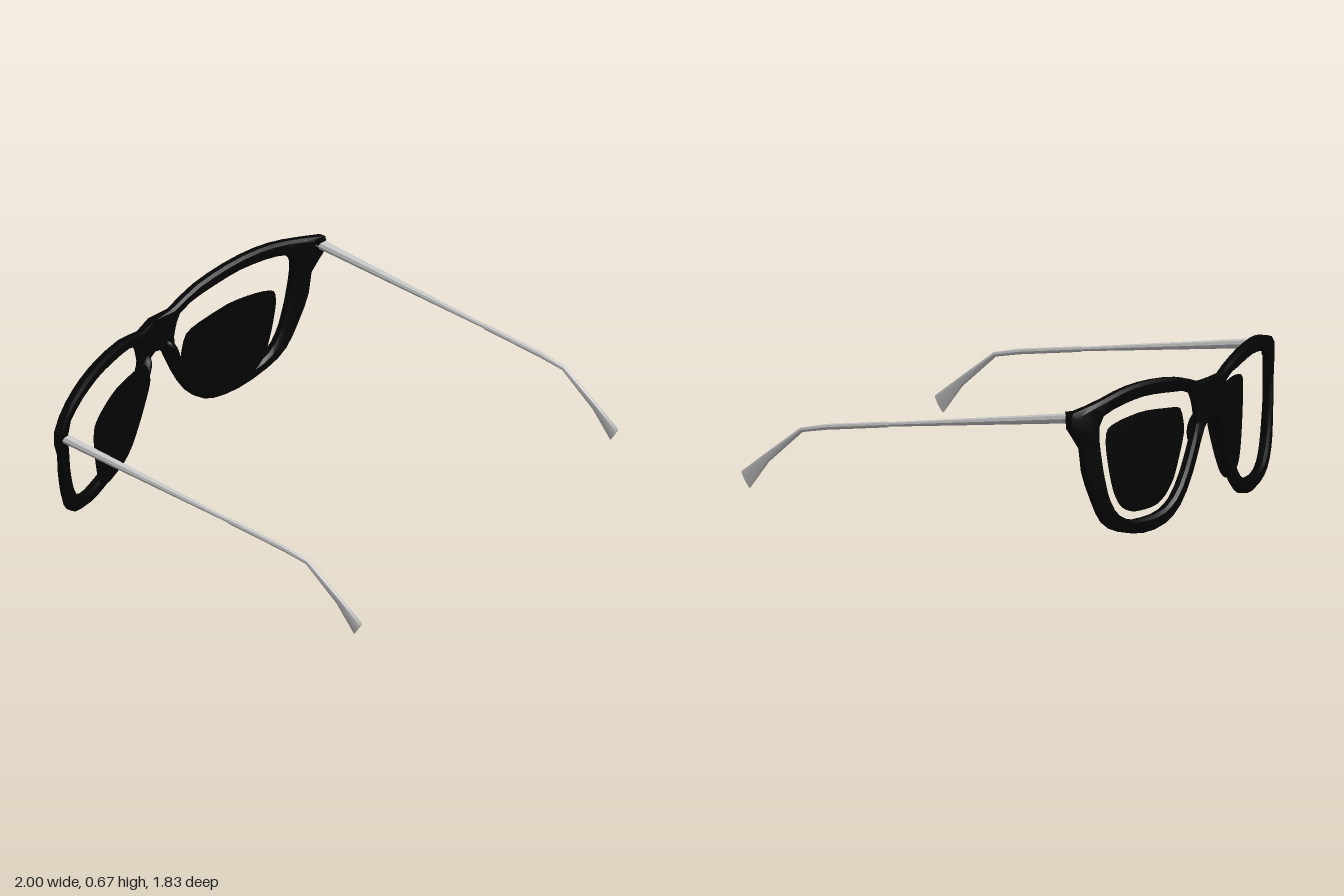
import * as THREE from 'three';
import { toCreasedNormals } from 'three/addons/utils/BufferGeometryUtils.js';
import { ParametricGeometry } from 'three/addons/geometries/ParametricGeometry.js';

const black = new THREE.MeshStandardMaterial({ color: 0x040404 });
const lensBlack = new THREE.MeshStandardMaterial({ color: 0x040404, side: THREE.DoubleSide });
const grey = new THREE.MeshStandardMaterial({ color: 0xcccccc });

// Half of the frame outline, from the top of the bridge round to its underside and up the middle
const OUTER = [[0, 0.605], [0.11, 0.605], [0.19, 0.63], [0.28, 0.653], [0.37, 0.665], [0.46, 0.672], [0.56, 0.674],
  [0.65, 0.669], [0.73, 0.658], [0.81, 0.641], [0.9, 0.62], [0.99, 0.6], [1, 0.58], [0.995, 0.53], [0.965, 0.485],
  [0.933, 0.435], [0.92, 0.33], [0.9, 0.265], [0.87, 0.19], [0.845, 0.135], [0.81, 0.09], [0.76, 0.055],
  [0.7, 0.032], [0.62, 0.013], [0.54, 0.004], [0.46, 0.007], [0.38, 0.022], [0.325, 0.045], [0.275, 0.08],
  [0.22, 0.135], [0.17, 0.205], [0.13, 0.275], [0.1, 0.34], [0.075, 0.4], [0.04, 0.44], [0, 0.445],
  [0, 0.5], [0, 0.55]];

// Lens opening on the +x side
const HOLE = [[0.175, 0.57], [0.33, 0.595], [0.54, 0.61], [0.73, 0.59], [0.835, 0.555], [0.85, 0.47], [0.825, 0.33],
  [0.785, 0.2], [0.725, 0.115], [0.62, 0.072], [0.435, 0.076], [0.33, 0.12], [0.25, 0.2], [0.19, 0.3],
  [0.14, 0.4], [0.128, 0.46]];
const holeCurve = new THREE.CatmullRomCurve3(
  HOLE.map(([x, y]) => new THREE.Vector3(x, y, 0)), true, 'catmullrom', 0.4);

// Linear interpolation through [x, value] pairs
function along(table, x) {
  for (let i = 1; i < table.length; i++) {
    const [x0, a] = table[i - 1], [x1, b] = table[i];
    if (x <= x1) return a + (b - a) * Math.max(0, (x - x0) / (x1 - x0));
  }
  return table[table.length - 1][1];
}
const FRAME_Z = [[0, -0.915], [0.06, -0.915], [0.12, -0.9], [0.3, -0.885], [0.5, -0.853], [0.7, -0.815],
  [0.85, -0.78], [0.92, -0.752], [1, -0.72]];
const FRAME_DEPTH = [[0, 0.037], [0.3, 0.045], [0.85, 0.048], [1, 0.06]];
const LENS_Z = [[0.1, -0.815], [0.2, -0.812], [0.3, -0.797], [0.4, -0.779], [0.5, -0.757], [0.6, -0.732], [0.68, -0.71]];

function buildGeometry(pos, index, crease) {
  const g = new THREE.BufferGeometry();
  g.setAttribute('position', new THREE.Float32BufferAttribute(pos, 3));
  g.setIndex(index);
  return toCreasedNormals(g, crease);
}

// Half frame: a chamfered section swept round the lens opening; side is 1 or -1
function rimGeometry(side) {
  const samples = holeCurve.getPoints(300);
  const angle = (x, y) => Math.atan2(y - 0.34, x - 0.49);
  const pos = [], index = [], n = OUTER.length;
  OUTER.forEach(([ox, oy], i) => {
    // Opening point in the same direction from the lens centre
    const a = angle(ox, oy);
    const off = p => 1 - Math.cos(angle(p.x, p.y) - a);
    const h = samples.reduce((best, p) => (off(p) < off(best) ? p : best));
    // No chamfer where the two halves meet
    const c = ox === 0 ? 0 : 0.2;
    const section = [[0, 0.25], [c, 0], [0.8, 0], [1, 0.25], [1, 0.75], [0.8, 1], [c, 1], [0, 0.75]];
    section.forEach(([t, d], k) => {
      const x = ox + (h.x - ox) * t, y = oy + (h.y - oy) * t;
      pos.push(side * x, y, along(FRAME_Z, x) + d * along(FRAME_DEPTH, x));
      const next = (i + 1) % n;
      const seam = ox === 0 && OUTER[next][0] === 0;
      if (seam && [0, 6, 7].includes(k)) return;
      const k2 = (k + 1) % 8;
      const p = i * 8 + k, q = next * 8 + k, r = next * 8 + k2, s = i * 8 + k2;
      if (side > 0) index.push(p, q, r, p, r, s);
      else index.push(p, r, q, p, s, r);
    });
  });
  return buildGeometry(pos, index, 0.6);
}

// Lens: the opening at reduced size, as a thin curved shell of rings
function lensGeometry(side, shift) {
  return new ParametricGeometry((u, v, out) => {
    const p = holeCurve.getPoint(u % 1);
    const r = 1 - Math.abs(2 * v - 1);
    const x = 0.39 + (0.1 + (p.x - 0.125) * 0.79 - 0.39) * r;
    const y = 0.3 + (p.y - 0.34) * 0.81 * r;
    const half = 0.005 * (1 - r ** 6) * Math.sign(v - 0.5);
    out.set(side * x + shift, y, along(LENS_Z, x) + half);
  }, 44, 16);
}

// Temple arm: elliptical sections [z, y, half width, half height] joined along the side
const ARM = [[-0.71, 0.577, 0.024, 0.024], [-0.64, 0.568, 0.021, 0.022], [0.2, 0.471, 0.01, 0.01],
  [0.2, 0.471, 0.012, 0.013], [0.5, 0.435, 0.012, 0.013], [0.62, 0.412, 0.011, 0.011],
  [0.79, 0.272, 0.011, 0.02], [0.89, 0.168, 0.011, 0.042]];
function armGeometry(sides = 8) {
  const pos = [], index = [], end = ARM.length - 1;
  ARM.forEach(([z, y, rx, ry], i) => {
    const a = ARM[Math.max(0, i - 1)], b = ARM[Math.min(end, i + 1)];
    const tilt = i === end ? -0.52 : Math.atan2(b[1] - a[1], b[0] - a[0]);
    for (let j = 0; j < sides; j++) {
      const t = j / sides * Math.PI * 2, h = Math.sin(t) * ry;
      pos.push(Math.cos(t) * rx, y + h * Math.cos(tilt), z - h * Math.sin(tilt));
      if (i === end) continue;
      const p = i * sides + j, q = i * sides + (j + 1) % sides;
      index.push(p, q, q + sides, p, q + sides, p + sides);
    }
  });
  const last = end * sides;
  for (let j = 1; j < sides - 1; j++) index.push(0, j + 1, j, last, last + j, last + j + 1);
  return buildGeometry(pos, index, 0.7);
}

export function createModel() {
  const group = new THREE.Group();
  const add = (name, geometry, material) => {
    const m = new THREE.Mesh(geometry, material);
    m.name = name;
    group.add(m);
    return m;
  };

  const arm = armGeometry();
  for (const s of [1, -1]) {
    const side = s > 0 ? 'left' : 'right';

    add(side + 'FrameFront', rimGeometry(s), black);
    add(side + 'Lens', lensGeometry(s, s > 0 ? 0 : -0.025), lensBlack);
    add(side + 'Temple', arm, grey).position.x = s * 0.964;

    // Nose pad on the inner rim
    const pad = add(side + 'NosePad', new THREE.SphereGeometry(1, 12, 8), black);
    pad.scale.set(0.028, 0.075, 0.035);
    pad.position.set(s * 0.105, 0.4, -0.868);
    pad.rotation.z = s * 0.5;

    // Hinge block behind the frame corner
    const hinge = add(side + 'Hinge', new THREE.CylinderGeometry(0.032, 0.018, 0.08, 6), black);
    hinge.position.set(s * 0.966, 0.56, -0.69);
  }
  return group;
}
